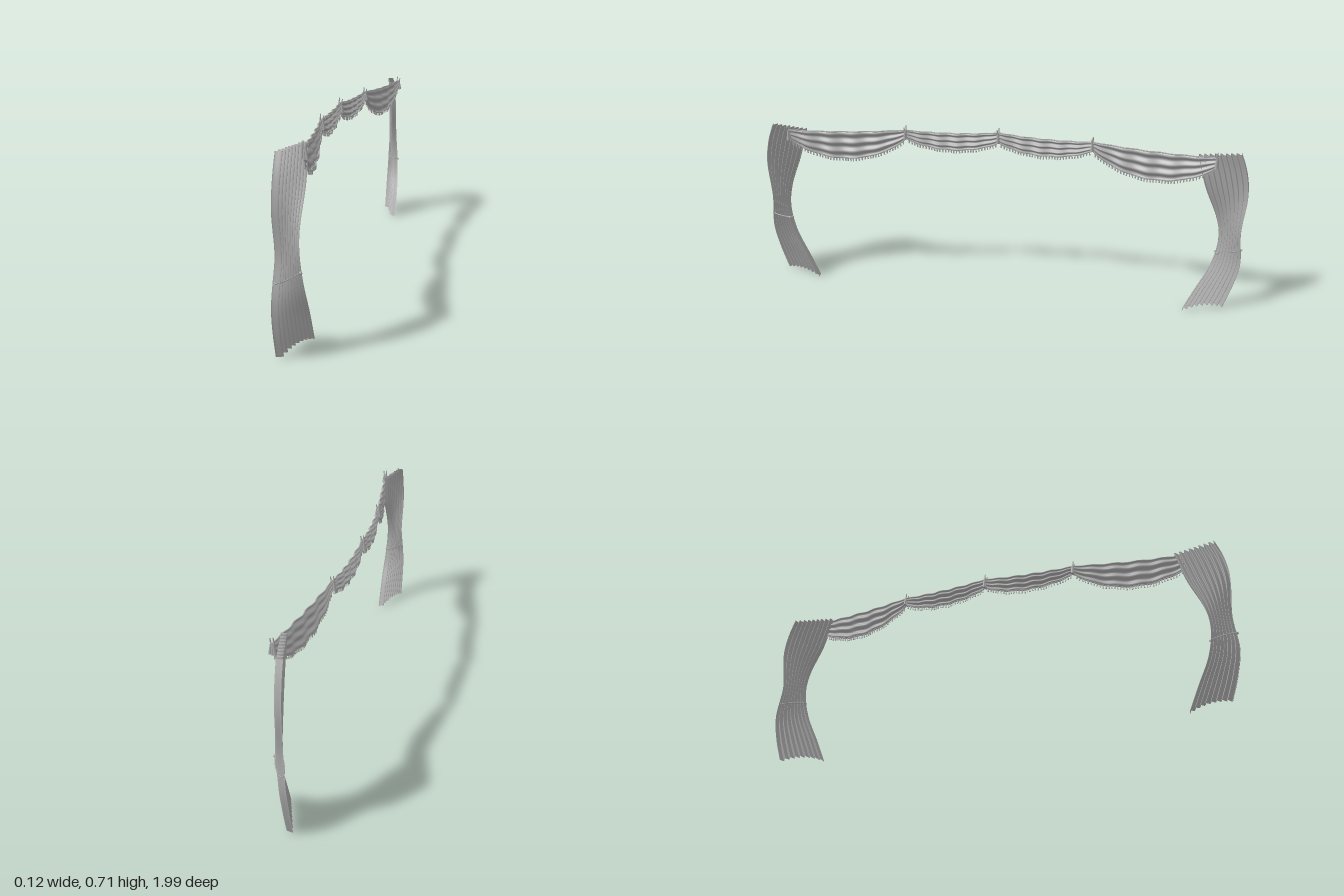
import * as THREE from 'three';

const cloth = new THREE.MeshStandardMaterial({ color: 0xaaaaaa, side: THREE.DoubleSide });
cloth.name = 'grey cloth';

// Smooth interpolation through [key, value] pairs
function curve(pairs) {
  const c = new THREE.SplineCurve(pairs.map(p => new THREE.Vector2(p[0], p[1])));
  const pts = c.getPoints(200);
  return k => {
    let i = 1;
    while (i < 200 && pts[i].x < k) i++;
    const a = pts[i - 1], b = pts[i];
    return THREE.MathUtils.clamp((k - a.x) / (b.x - a.x), 0, 1) * (b.y - a.y) + a.y;
  };
}

// Sheet of cloth from a rule f(u, v) -> [x, y, z]
function sheet(f, nu, nv) {
  const pos = [], idx = [];
  for (let j = 0; j <= nv; j++) for (let i = 0; i <= nu; i++) pos.push(...f(i / nu, j / nv));
  for (let j = 0; j < nv; j++) for (let i = 0; i < nu; i++) {
    const a = j * (nu + 1) + i, b = a + nu + 1;
    idx.push(a, b, a + 1, a + 1, b, b + 1);
  }
  const g = new THREE.BufferGeometry();
  g.setAttribute('position', new THREE.Float32BufferAttribute(pos, 3));
  g.setIndex(idx);
  g.computeVertexNormals();
  return g;
}

function add(parent, geometry, name, x = 0, y = 0, z = 0) {
  const m = new THREE.Mesh(geometry, cloth);
  m.name = name;
  m.position.set(x, y, z);
  parent.add(m);
  return m;
}

// Side drape outline by height
const outerZ = curve([[0, 0.95], [0.1, 0.98], [0.21, 0.997], [0.35, 0.982], [0.5, 0.995], [0.6, 0.98], [0.68, 0.95]]);
const innerZ = curve([[0, 0.777], [0.1, 0.82], [0.21, 0.87], [0.32, 0.892], [0.42, 0.875], [0.55, 0.82], [0.68, 0.78]]);
const outerX = curve([[0, -0.031], [0.15, -0.03], [0.27, -0.023], [0.36, -0.018], [0.5, -0.022], [0.68, -0.02]]);
const innerX = curve([[0, 0.053], [0.15, 0.05], [0.27, 0.042], [0.4, 0.035], [0.55, 0.042], [0.68, 0.041]]);
const PLEAT = 0.011;

function drape(s) {
  const g = new THREE.Group();
  g.name = s > 0 ? 'drapeFront' : 'drapeBack';
  // Pleated panel, gathered in the middle, with an arched hem
  add(g, sheet((u, v) => {
    const h = 0.676 * v;
    const y = h + 0.018 * 4 * u * (1 - u) * Math.max(0, 1 - h / 0.3);
    const x = THREE.MathUtils.lerp(outerX(h) + PLEAT, innerX(h) - PLEAT, u);
    const z = THREE.MathUtils.lerp(outerZ(h), innerZ(h), u);
    const p = -Math.cos(u * Math.PI * 17) * PLEAT;
    return [x + p, y, s * (z + p * 0.25)];
  }, 136, 36), 'pleatedPanel');

  // Tieback cord looped around the gather
  const y = 0.268, pts = [];
  for (let i = 0; i < 16; i++) {
    const a = i / 16 * Math.PI * 2, t = 0.5 - 0.52 * Math.cos(a);
    pts.push(new THREE.Vector3(
      THREE.MathUtils.lerp(outerX(y) + PLEAT, innerX(y) - PLEAT, t) + Math.sin(a) * 0.015,
      y + 0.006 * t, s * THREE.MathUtils.lerp(outerZ(y), innerZ(y), t)));
  }
  add(g, new THREE.TubeGeometry(new THREE.CatmullRomCurve3(pts, true), 48, 0.0025, 6, true), 'tiebackCord');
  add(g, new THREE.SphereGeometry(0.006, 8, 6), 'tiebackKnot', 0.04, y + 0.004, s * 0.895);
  return g;
}

// Plan of the valance: x by distance from the centre
const planX = curve([[0, -0.043], [0.2, -0.037], [0.38, -0.022], [0.6, 0.008], [0.78, 0.034], [0.86, 0.047]]);

// One swag between two gathers a and b, each { z, top, low }
function swag(a, b, dip, sag, s, name) {
  const g = new THREE.Group();
  g.name = name;
  const f = (u, v) => {
    const z = THREE.MathUtils.lerp(a.z, b.z, u), e = 4 * u * (1 - u);
    const top = THREE.MathUtils.lerp(a.top, b.top, u) - dip * e;
    const bottom = THREE.MathUtils.lerp(a.low, b.low, u) - sag * Math.pow(e, 0.85);
    const fold = Math.sin(v * Math.PI * 6) * (0.003 + 0.003 * e);
    const ripple = Math.sin(u * Math.PI * 10) * 0.004 * Math.sqrt(e);
    return [planX(z) + fold + ripple, top + (bottom - top) * v, s * z];
  };
  add(g, sheet(f, 48, 30), 'swagCloth');
  // Rolled upper and lower hems
  for (const v of [0, 1]) {
    const pts = [];
    for (let i = 0; i <= 24; i++) pts.push(new THREE.Vector3(...f(i / 24, v)));
    add(g, new THREE.TubeGeometry(new THREE.CatmullRomCurve3(pts), 48, 0.0028, 5), v ? 'lowerHem' : 'upperHem');
  }
  // Fringe
  const n = Math.round((b.z - a.z) / 0.0115);
  const strand = new THREE.BoxGeometry(0.003, 0.014, 0.005);
  for (let i = 1; i < n; i++) {
    const [x, y, z] = f(i / n, 1);
    add(g, strand, 'fringeStrand', x, y - 0.007, z).rotation.x = (i % 3 - 1) * 0.15;
  }
  return g;
}

// Bunched cloth where swags meet
function gather(p, s) {
  const g = new THREE.Group();
  g.name = 'gather';
  const x = planX(p.z), h = p.top - p.low + 0.004;
  for (let i = -1; i <= 1; i++) {
    add(g, new THREE.CylinderGeometry(0.003, 0.006, h, 7), 'gatherFold',
      x + i * 0.007, (p.top + p.low) / 2, s * p.z + i * 0.003).rotation.z = i * 0.12;
  }
  add(g, new THREE.CylinderGeometry(0.002, 0.003, 0.04, 6), 'gatherTip', x - 0.006, p.top, s * p.z).rotation.z = -0.12;
  add(g, new THREE.CylinderGeometry(0.002, 0.003, 0.03, 6), 'gatherTip', x + 0.006, p.top, s * p.z + 0.004).rotation.z = -0.2;
  return g;
}

export function createModel() {
  const model = new THREE.Group();
  model.name = 'stageCurtain';
  const centre = { z: 0, top: 0.686, low: 0.645 };
  const middle = { z: 0.38, top: 0.68, low: 0.645 };
  const end = { z: 0.855, top: 0.674, low: 0.635 };
  for (const s of [1, -1]) {
    model.add(drape(s));
    model.add(swag(centre, middle, 0.01, 0.042, s, 'innerSwag'));
    model.add(swag(middle, end, 0.008, 0.085, s, 'outerSwag'));
    model.add(gather(middle, s), gather(end, s));
  }
  model.add(gather(centre, 1));
  return model;
}
